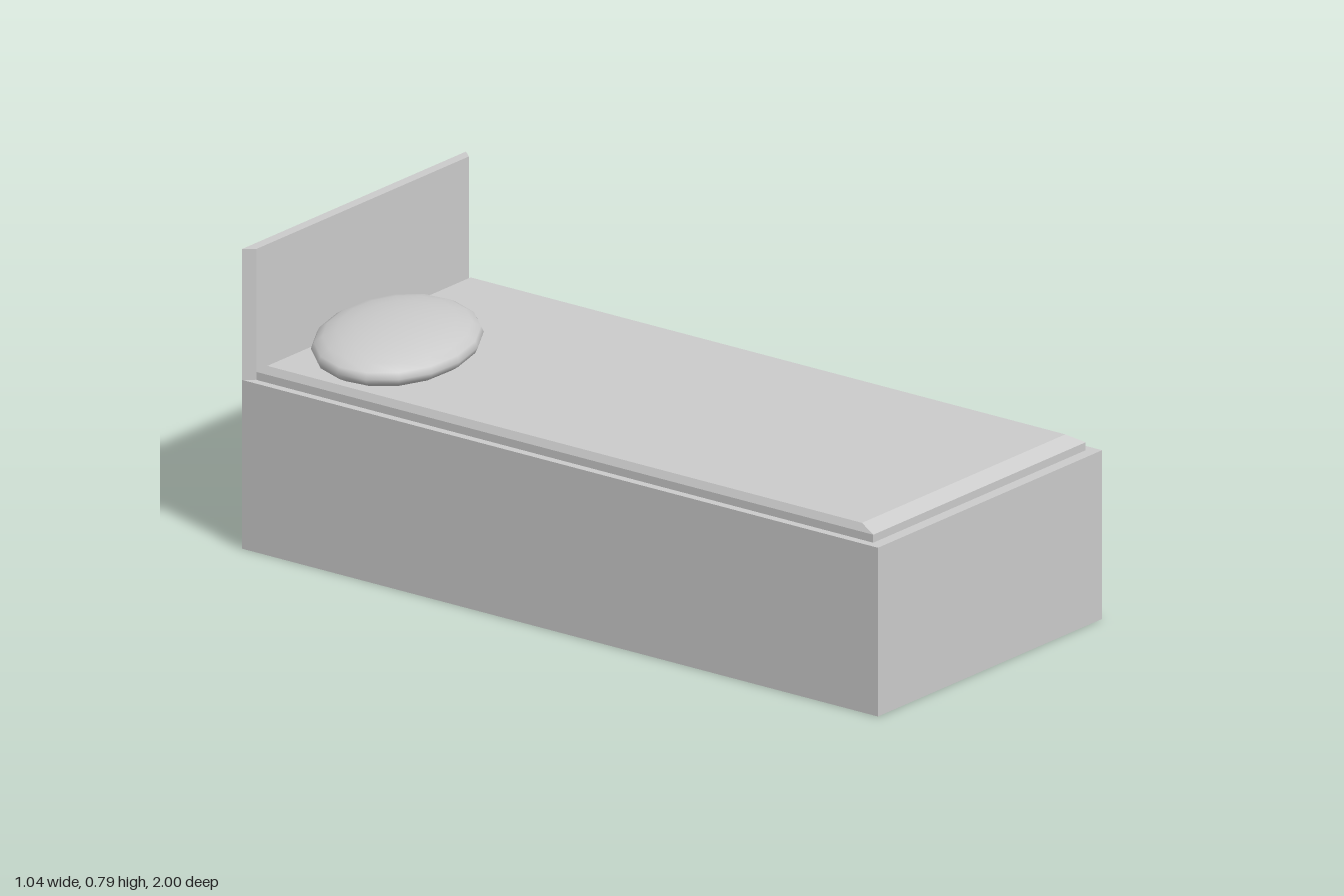
import * as THREE from 'three';

const grey = () => new THREE.MeshStandardMaterial({ color: 0xcccccc });

function add(parent, name, geometry) {
  const mesh = new THREE.Mesh(geometry, grey());
  mesh.name = name;
  parent.add(mesh);
  return mesh;
}

// Box given by its limits on each axis; an optional rule then moves its corners
function block([x0, x1], [y0, y1], [z0, z1], rule) {
  const geo = new THREE.BoxGeometry(x1 - x0, y1 - y0, z1 - z0);
  geo.translate((x0 + x1) / 2, (y0 + y1) / 2, (z0 + z1) / 2);
  if (rule) {
    const pos = geo.attributes.position;
    const v = new THREE.Vector3();
    for (let i = 0; i < pos.count; i++) {
      rule(v.fromBufferAttribute(pos, i));
      pos.setXYZ(i, v.x, v.y, v.z);
    }
    geo.computeVertexNormals();
  }
  return geo;
}

// Angular bow handle, bulging towards +x
function handleGeometry() {
  const points = [[-0.01, -0.115], [0.042, -0.1], [0.079, 0], [0.042, 0.1], [-0.01, 0.115]]
    .map(([x, z]) => new THREE.Vector3(x, 0, z));
  const curve = new THREE.CatmullRomCurve3(points);
  // Sample exactly at the bends so that they stay crisp
  curve.getPointAt = (t, target) => curve.getPoint(t, target);
  curve.getTangentAt = (t, target) => curve.getTangent(t, target);
  return new THREE.TubeGeometry(curve, points.length - 1, 0.0125, 8, false);
}

export function createModel() {
  const bed = new THREE.Group();
  bed.name = 'bed';

  add(bed, 'base', block([-0.52, 0.385], [0, 0.445], [-1, 1]));

  // Headboard, narrower at its front face
  add(bed, 'headboard', block([-0.52, 0.385], [0.445, 0.79], [-1, -0.972], (v) => {
    if (v.z > -0.99) v.x += v.x < 0 ? 0.023 : -0.025;
  }));

  // Mattress: straight lower edge with a bevelled top
  add(bed, 'mattress', block([-0.498, 0.36], [0.445, 0.466], [-0.972, 0.968]));
  add(bed, 'mattressTop', block([-0.498, 0.36], [0.466, 0.485], [-0.972, 0.968], (v) => {
    if (v.y > 0.475) {
      v.x += v.x < 0 ? 0.01 : -0.027;
      v.z += v.z < 0 ? 0.027 : -0.043;
    }
  }));

  // Pillow
  const pillow = add(bed, 'pillow', new THREE.SphereGeometry(1, 16, 12));
  pillow.scale.set(0.303, 0.06, 0.207);
  pillow.rotation.y = 0.4;
  pillow.position.set(-0.22, 0.521, -0.745);

  // Two drawers on the left side, each with a handle
  for (const [z0, z1, handleZ] of [[-0.967, -0.033, -0.48], [0.033, 0.967, 0.52]]) {
    const drawer = new THREE.Group();
    drawer.name = 'drawer';
    add(drawer, 'drawerFront', block([0.38, 0.427], [0.16, 0.412], [z0, z1]));
    add(drawer, 'handle', handleGeometry()).position.set(0.427, 0.271, handleZ);
    bed.add(drawer);
  }
  return bed;
}
